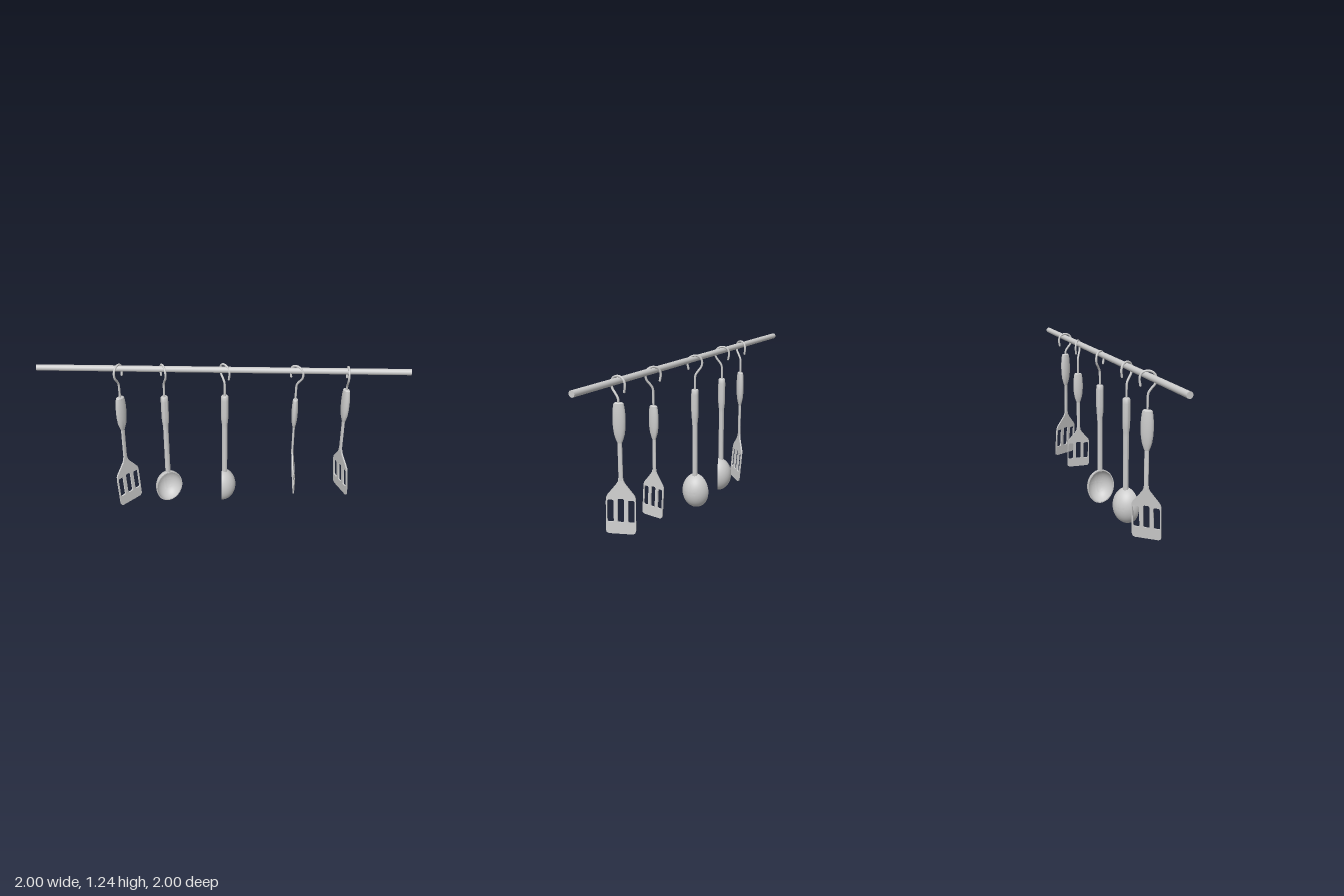
import * as THREE from 'three';
import { toCreasedNormals } from 'three/addons/utils/BufferGeometryUtils.js';

const material = new THREE.MeshStandardMaterial({ color: 0xcccccc });
const rad = THREE.MathUtils.degToRad;
const points = (list) => list.map(([x, y]) => new THREE.Vector2(x, y));

function part(name, geometry, parent) {
  const mesh = new THREE.Mesh(geometry, material);
  mesh.name = name;
  parent.add(mesh);
  return mesh;
}

// Group turned about y so that its local x points along the angle (x towards z)
function turned(name, degrees, parent) {
  const group = new THREE.Group();
  group.name = name;
  group.rotation.y = -rad(degrees);
  parent.add(group);
  return group;
}

// Lathe from a profile listed top to bottom
function turnedSolid(profile, sides = 24) {
  return toCreasedNormals(new THREE.LatheGeometry(points(profile).reverse(), sides), 0.7);
}

// Wire hook that hangs over the rail, bulging along local x
function addHook(parent, degrees) {
  const path = [[0, 0.94], [0, 1.03], [0.004, 1.08], [0.024, 1.112], [0.047, 1.142], [0.055, 1.18],
    [0.04, 1.216], [0, 1.232], [-0.04, 1.218], [-0.057, 1.18], [-0.05, 1.13]];
  const curve = new THREE.CatmullRomCurve3(path.map(([x, y]) => new THREE.Vector3(x, y, 0)));
  const group = turned('hook', degrees, parent);
  part('hookWire', new THREE.TubeGeometry(curve, 60, 0.0085, 10), group);
  part('hookTip', new THREE.SphereGeometry(0.0085, 10, 8), group).position.set(-0.05, 1.13, 0);
}

// Slotted blade, sheared so it leans towards local -z
function bladeGeometry() {
  const half = [[0.017, -0.55], [0.02, -0.572], [0.032, -0.592], [0.1, -0.675], [0.107, -0.692],
    [0.11, -0.72], [0.11, -0.935], [0.105, -0.952], [0.09, -0.96]];
  const mirrored = half.map(([x, y]) => [-x, y]).reverse();
  // Counter-clockwise outline, clockwise slots
  const shape = new THREE.Shape(points([...half, ...mirrored].reverse()));
  for (const i of [-1, 0, 1]) {
    const x = i * 0.076, w = 0.024, r = 0.014, bottom = -0.875, top = i ? -0.71 : -0.7;
    const slot = new THREE.Path();
    slot.moveTo(x - w, bottom + r);
    slot.lineTo(x - w, top - r);
    slot.quadraticCurveTo(x - w, top, x - w + r, top);
    slot.lineTo(x + w - r, top);
    slot.quadraticCurveTo(x + w, top, x + w, top - r);
    slot.lineTo(x + w, bottom + r);
    slot.quadraticCurveTo(x + w, bottom, x + w - r, bottom);
    slot.lineTo(x - w + r, bottom);
    slot.quadraticCurveTo(x - w, bottom, x - w, bottom + r);
    shape.holes.push(slot);
  }
  const geometry = new THREE.ExtrudeGeometry(shape, { depth: 0.013, bevelEnabled: false, curveSegments: 5 });
  geometry.translate(0, 0, -0.0065);
  const p = geometry.attributes.position;
  for (let i = 0; i < p.count; i++) {
    p.setZ(i, p.getZ(i) - Math.max(0, -0.55 - p.getY(i)) * 0.088);
  }
  geometry.computeVertexNormals();
  return toCreasedNormals(geometry, 0.5);
}

function addSpatula({ x, z, top, scale, angle, hook }, parent) {
  const group = new THREE.Group();
  group.name = 'spatula';
  group.position.set(x, 0, z);
  parent.add(group);
  addHook(group, hook);

  const body = turned('spatulaBody', angle, group);
  body.position.y = top;
  body.scale.setScalar(scale);
  // Flattened grip
  const grip = [[0, 0], [0.028, 0], [0.036, -0.006], [0.041, -0.03], [0.046, -0.08], [0.047, -0.13],
    [0.045, -0.18], [0.038, -0.23], [0.026, -0.268], [0.017, -0.29], [0, -0.29]];
  part('grip', turnedSolid(grip), body).scale.z = 0.6;
  // Neck
  part('neck', turnedSolid([[0, -0.27], [0.017, -0.27], [0.017, -0.57], [0, -0.57]]), body).scale.z = 0.6;
  part('blade', bladeGeometry(), body);
}

// Ladle whose bowl opens along local x
function addLadle({ x, z, angle, hook }, parent) {
  const group = new THREE.Group();
  group.name = 'ladle';
  group.position.set(x, 0, z);
  parent.add(group);
  addHook(group, hook);

  const body = turned('ladleBody', angle, group);
  const handle = [[0, 0.97], [0.022, 0.97], [0.027, 0.964], [0.029, 0.93], [0.029, 0.8],
    [0.027, 0.75], [0.022, 0.715], [0.021, 0.68], [0.021, 0.267], [0, 0.267]];
  part('handle', turnedSolid(handle), body);

  // Hollow half-ellipsoid: outer arc up to the rim, inner arc back down
  const R = 0.112, r = 0.105, n = 18, profile = [];
  for (let i = 0; i <= n; i++) {
    const t = (i / n) * Math.PI / 2;
    profile.push([R * Math.sin(t), -R * Math.cos(t)]);
  }
  for (let i = n; i >= 0; i--) {
    const t = (i / n) * Math.PI / 2;
    profile.push([r * Math.sin(t), -r * Math.cos(t)]);
  }
  const bowl = new THREE.LatheGeometry(points(profile), 40);
  bowl.scale(0.14 / R, 1, 1);
  bowl.rotateZ(-Math.PI / 2);
  part('bowl', toCreasedNormals(bowl, 0.7), body).position.set(0.023, 0.14, 0);
}

export function createModel() {
  const model = new THREE.Group();
  model.name = 'utensilRail';

  // Diagonal hanging rail
  const railGeometry = new THREE.CylinderGeometry(0.023, 0.023, 2.78, 24);
  railGeometry.rotateZ(Math.PI / 2);
  const rail = part('rail', railGeometry, model);
  rail.position.y = 1.202;
  rail.rotation.y = Math.PI / 4;

  const spatulas = [
    { x: -0.546, z: 0.562, top: 0.963, scale: 1, angle: 87, hook: 67 },
    { x: 0.382, z: -0.398, top: 0.955, scale: 0.867, angle: 51, hook: -8 },
    { x: 0.66, z: -0.653, top: 1.053, scale: 0.966, angle: 22, hook: 45 },
  ];
  spatulas.forEach((s) => addSpatula(s, model));

  const ladles = [
    { x: -0.314, z: 0.317, angle: 18, hook: 20 },
    { x: -0.007, z: -0.026, angle: 135, hook: 186 },
  ];
  ladles.forEach((l) => addLadle(l, model));

  return model;
}
